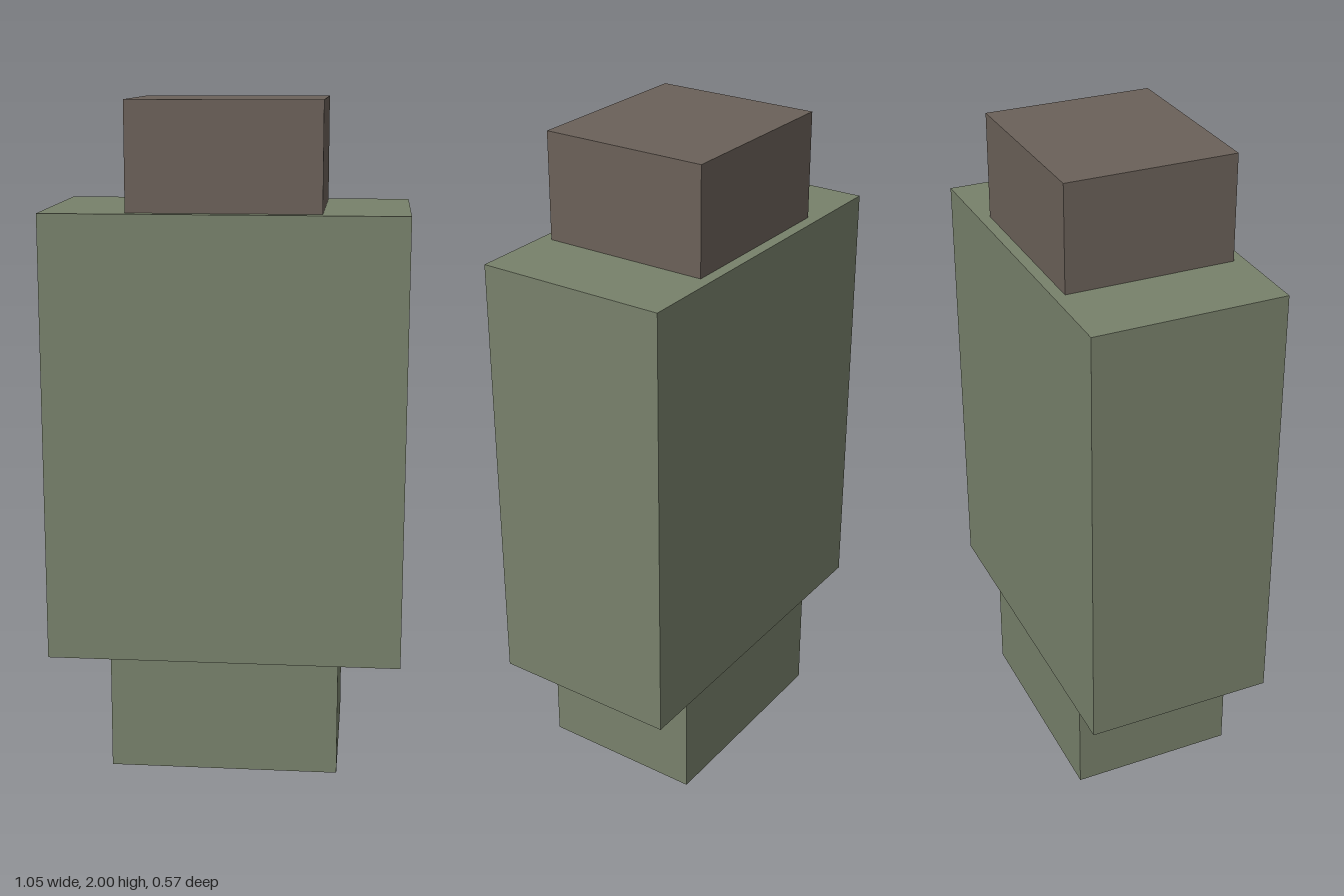
import * as THREE from 'three';

const green = new THREE.MeshStandardMaterial({ color: 0x78816b, flatShading: true });
const brown = new THREE.MeshStandardMaterial({ color: 0x6b6159, flatShading: true });

// Box resting on height y0 and reaching y1
function block(name, width, y0, y1, depth, material) {
  const mesh = new THREE.Mesh(new THREE.BoxGeometry(width, y1 - y0, depth), material);
  mesh.name = name;
  mesh.position.y = (y0 + y1) / 2;
  return mesh;
}

export function createModel() {
  const model = new THREE.Group();
  model.name = 'blockFigure';
  model.add(
    block('base', 0.685, 0, 0.355, 0.505, green),
    block('body', 1.055, 0.355, 1.685, 0.573, green),
    block('top', 0.56, 1.685, 2, 0.505, brown),
  );
  return model;
}
